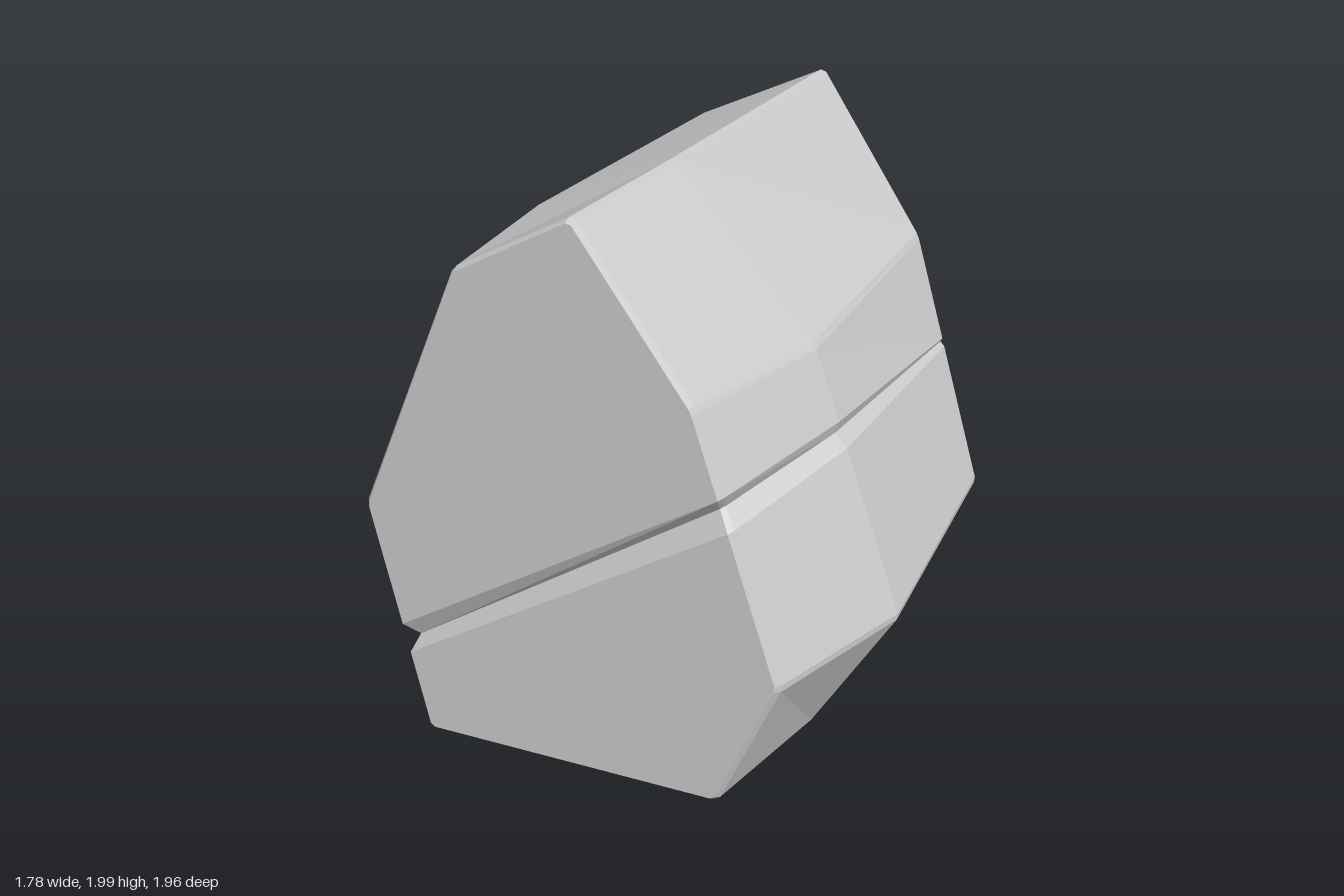
import * as THREE from 'three';

const V = (x, y, z) => new THREE.Vector3(x, y, z);
const frontZ = (x, y) => 0.935 - 0.08 * x - 0.045 * y;
const backZ = (x, y) => -0.89 - 0.1 * x - 0.04 * y;

// Cross-sections, front to back. Corners run anticlockwise from the lower -x corner;
// right/left give the crack on each flank as [height, half width, depth].
const SECTIONS = [
  {
    pts: [[-0.57, 0], [0.49, 0], [0.69, 0.5], [0.38, 1.44], [-0.02, 2], [-0.42, 1.765], [-0.77, 0.86]],
    plane: frontZ, right: [1.095, 0.055, 0.03], left: [0.35, 0.055, 0.03], sink: 0.045,
  },
  {
    pts: [[-0.675, 0, 0.43], [0.605, 0, 0.37], [0.89, 0.5, 0.31], [0.55, 1.44, 0.29], [0.055, 2, 0.3], [-0.43, 1.76, 0.35], [-0.895, 0.86, 0.41]],
    right: [1.14, 0.045, 0.03], left: [0.25, 0.04, 0.03],
  },
  {
    pts: [[-0.6, 0, -0.5], [0.6, 0, -0.62], [0.835, 0.5, -0.63], [0.55, 1.44, -0.64], [0.165, 2, -0.65], [-0.29, 1.77, -0.6], [-0.735, 0.86, -0.54]],
    right: [1.04, 0.015, 0.012], left: [0.2, 0.006, 0],
  },
  {
    pts: [[-0.43, 0], [0.42, 0], [0.6, 0.45], [0.39, 1.32], [0.08, 1.8], [-0.23, 1.62], [-0.56, 0.86]],
    plane: backZ, right: [0.93, 0.006, 0], left: [0.2, 0.006, 0],
  },
];

// Expand one section into a ring: bevelled corners plus three crack points per flank.
function makeRing({ pts, plane, right, left, sink = 0 }) {
  const c = pts.map(([x, y, z]) => V(x, y, plane ? plane(x, y) : z));
  const n = c.length;
  const crack = (a, b, [y, half, depth], inward) => {
    const at = (h) => a.clone().lerp(b, (h - a.y) / (b.y - a.y));
    const s = Math.sign(b.y - a.y) * half;
    return [at(y - s), at(y).add(V(inward * depth, 0, -sink)), at(y + s)];
  };
  const ring = [];
  c.forEach((p, i) => {
    for (const q of [c[(i + n - 1) % n], c[(i + 1) % n]]) {
      ring.push(p.clone().lerp(q, 0.013 / p.distanceTo(q)));
    }
    if (i === 2) ring.push(...crack(p, c[3], right, -1));
    if (i === 6) ring.push(...crack(p, c[0], left, 1));
  });
  return ring;
}

// Ring indices where the crack meets the two flanks
const R = 6, L = 17;

function buildRock() {
  const s = SECTIONS.map(makeRing);
  const mix = (a, b, t) => a.map((p, i) => p.clone().lerp(b[i], t));
  const inset = (ring, k) => {
    const mid = ring.reduce((m, p) => m.add(p), V(0, 0, 0)).divideScalar(ring.length);
    return ring.map((p) => p.clone().lerp(mid, k));
  };
  const rings = [
    inset(s[0], 0.012), mix(s[0], s[1], 0.035), s[1], s[2],
    mix(s[3], s[2], 0.05), inset(s[3], 0.015),
  ];
  const out = [];
  const tri = (...t) => t.forEach((p) => out.push(p.x, p.y, p.z));
  const n = rings[0].length;

  // Flanks
  for (let k = 0; k < rings.length - 1; k++) {
    const a = rings[k], b = rings[k + 1];
    for (let i = 0; i < n; i++) {
      const j = (i + 1) % n;
      tri(a[i], b[i], a[j]);
      tri(a[j], b[i], b[j]);
    }
  }

  // Front face: the area above the crack, the area below it and the V-shaped crack
  const fan = (p) => { for (let i = 1; i < p.length - 1; i++) tri(p[0], p[i], p[i + 1]); };
  const f = rings[0];
  fan(f.slice(R + 2, L + 1));
  fan([...f.slice(L + 2), ...f.slice(0, R + 1)]);
  fan([f[L + 1], f[R + 1], f[R + 2], f[L]]);
  fan([f[L + 2], f[R], f[R + 1], f[L + 1]]);

  // Back face
  fan([...rings[rings.length - 1]].reverse());

  const g = new THREE.BufferGeometry();
  g.setAttribute('position', new THREE.Float32BufferAttribute(out, 3));
  g.computeVertexNormals();
  return g;
}

export function createModel() {
  const group = new THREE.Group();
  group.name = 'rock';
  const material = new THREE.MeshStandardMaterial({ color: 0xcccccc, flatShading: true });
  const boulder = new THREE.Mesh(buildRock(), material);
  boulder.name = 'crackedBoulder';
  group.add(boulder);
  return group;
}
